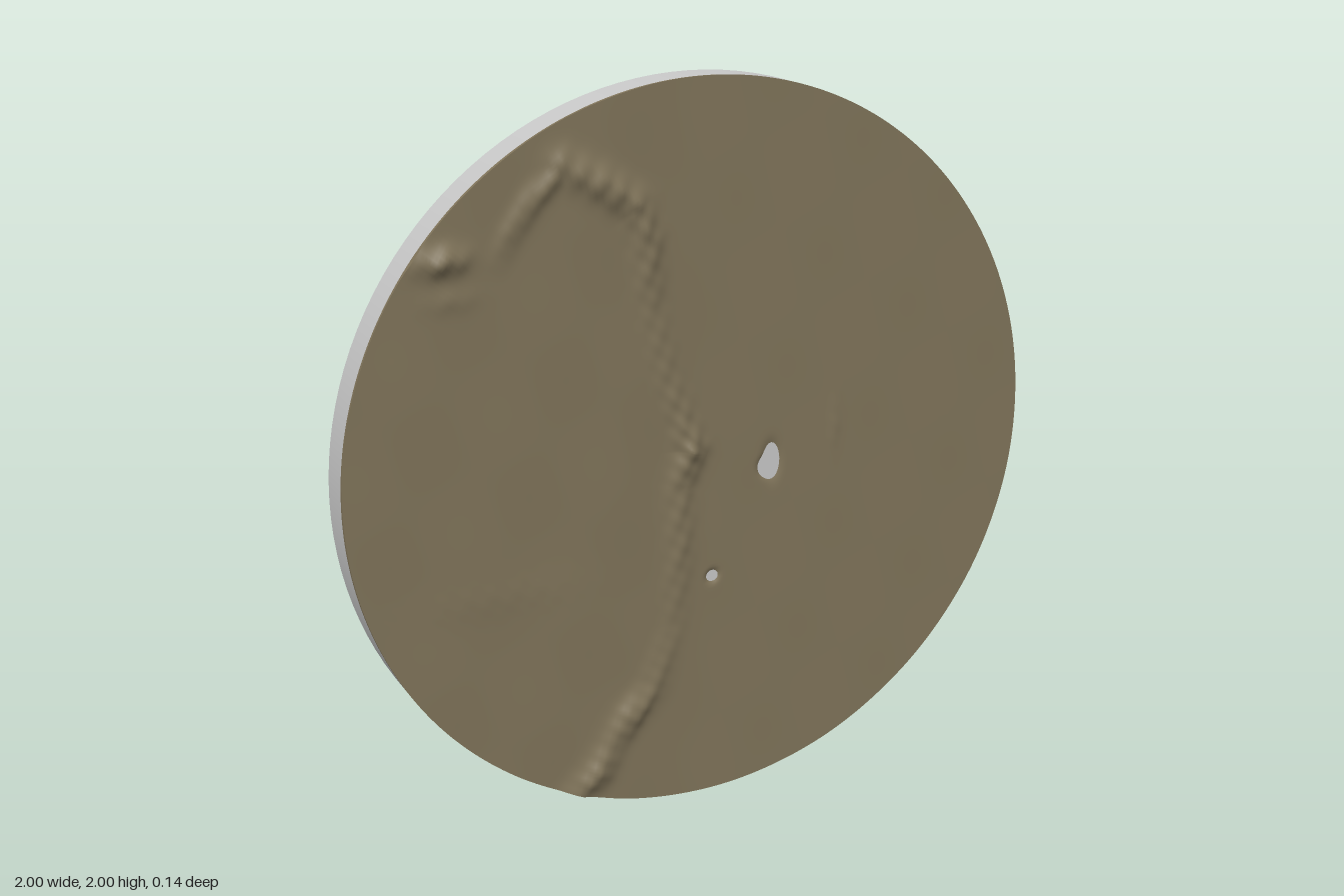
import * as THREE from 'three';

const BASE_FRONT = 0.03;

// Ridge crest points: x, y (from the disc centre), height above the ground
const RIDGE = [
  [-0.40, 0.81, 0.016], [-0.29, 0.75, 0.026], [-0.20, 0.69, 0.024], [-0.17, 0.60, 0.02],
  [-0.16, 0.42, 0.007], [-0.11, 0.22, 0.008], [-0.07, 0.10, 0.014], [-0.045, 0.02, 0.028],
  [-0.08, -0.08, 0.011], [-0.08, -0.25, 0.010], [-0.10, -0.48, 0.004], [-0.17, -0.65, 0.012],
  [-0.23, -0.71, 0.026], [-0.29, -0.79, 0.013], [-0.34, -0.87, 0.027], [-0.40, -0.92, 0.014],
];
const SPUR = [[-0.42, 0.78, 0.014], [-0.48, 0.73, 0.015], [-0.54, 0.65, 0.01], [-0.57, 0.59, 0.003]];
// Single hills: x, y, half width, half height, rise
const HILLS = [
  [-0.72, 0.60, 0.06, 0.03, 0.028], [-0.70, 0.50, 0.06, 0.025, 0.005],
  [0.395, 0.03, 0.018, 0.07, 0.003], [-0.6, -0.3, 0.2, 0.05, 0.002],
];
// Hollows that reach down to the base: x, y, half width, half height
const HOLLOWS = [[0.20, -0.05, 0.025, 0.05], [0.182, -0.066, 0.022, 0.026], [0.02, -0.355, 0.018, 0.016]];

const smooth = (a, b, v) => THREE.MathUtils.smoothstep(v, a, b);

// Smooth rounded crest along a broken line
function crest(points, x, y, width) {
  let best = 0;
  for (let i = 0; i + 1 < points.length; i++) {
    const [ax, ay, ah] = points[i], [bx, by, bh] = points[i + 1];
    const dx = bx - ax, dy = by - ay;
    const t = THREE.MathUtils.clamp(((x - ax) * dx + (y - ay) * dy) / (dx * dx + dy * dy), 0, 1);
    const d = Math.hypot(x - ax - t * dx, y - ay - t * dy) / width;
    best = Math.max(best, (ah + (bh - ah) * t) * Math.exp(-d * d));
  }
  return best;
}

// Ground height as a z position
function ground(x, y) {
  const rough = 1 + 0.2 * Math.sin(x * 95 + y * 30) * Math.sin(y * 83);
  const west = 1 - smooth(-0.3, 0.0, x);
  let z = 0.035 + 0.005 * west;
  z += 0.0006 * (Math.sin(x * 11 + y * 17) + Math.sin(x * 19 - y * 7)) * (0.4 + west);
  z += rough * Math.max(crest(RIDGE, x, y, 0.038), crest(SPUR, x, y, 0.028));
  for (const [hx, hy, w, h, rise] of HILLS) {
    z += rough * rise * Math.exp(-(((x - hx) / w) ** 2) - ((y - hy) / h) ** 2);
  }
  for (const [hx, hy, w, h] of HOLLOWS) {
    const d2 = ((x - hx) / w) ** 2 + ((y - hy) / h) ** 2;
    z -= 0.012 * Math.exp(-0.8 * d2 * Math.sqrt(d2));
  }
  return z;
}

export function createModel() {
  const model = new THREE.Group();
  model.name = 'terrainDisc';
  const stone = new THREE.MeshStandardMaterial({ color: 0xc8c8c8 });
  stone.name = 'light grey';
  const earth = new THREE.MeshStandardMaterial({ color: 0x80745a });
  earth.name = 'earth brown';

  const add = (name, geometry, material) => {
    const mesh = new THREE.Mesh(geometry, material);
    mesh.name = name;
    mesh.position.y = 1;
    model.add(mesh);
  };

  // Plain round base standing on its edge
  const base = new THREE.CylinderGeometry(1, 1, 0.1, 128);
  base.rotateX(Math.PI / 2).translate(0, 0, BASE_FRONT - 0.05);
  add('base', base, stone);

  // Relief surface on the front
  const relief = new THREE.RingGeometry(0.0005, 1, 384, 110);
  const p = relief.attributes.position;
  for (let i = 0; i < p.count; i++) p.setZ(i, ground(p.getX(i), p.getY(i)));
  relief.computeVertexNormals();
  add('terrain', relief, earth);

  // Thin rim closing the relief down to the base
  const rim = new THREE.CylinderGeometry(1, 1, 1, 384, 1, true).rotateX(Math.PI / 2);
  const r = rim.attributes.position;
  for (let i = 0; i < r.count; i++) {
    r.setZ(i, r.getZ(i) > 0 ? ground(r.getX(i), r.getY(i)) : BASE_FRONT);
  }
  add('terrainRim', rim, earth);

  return model;
}
